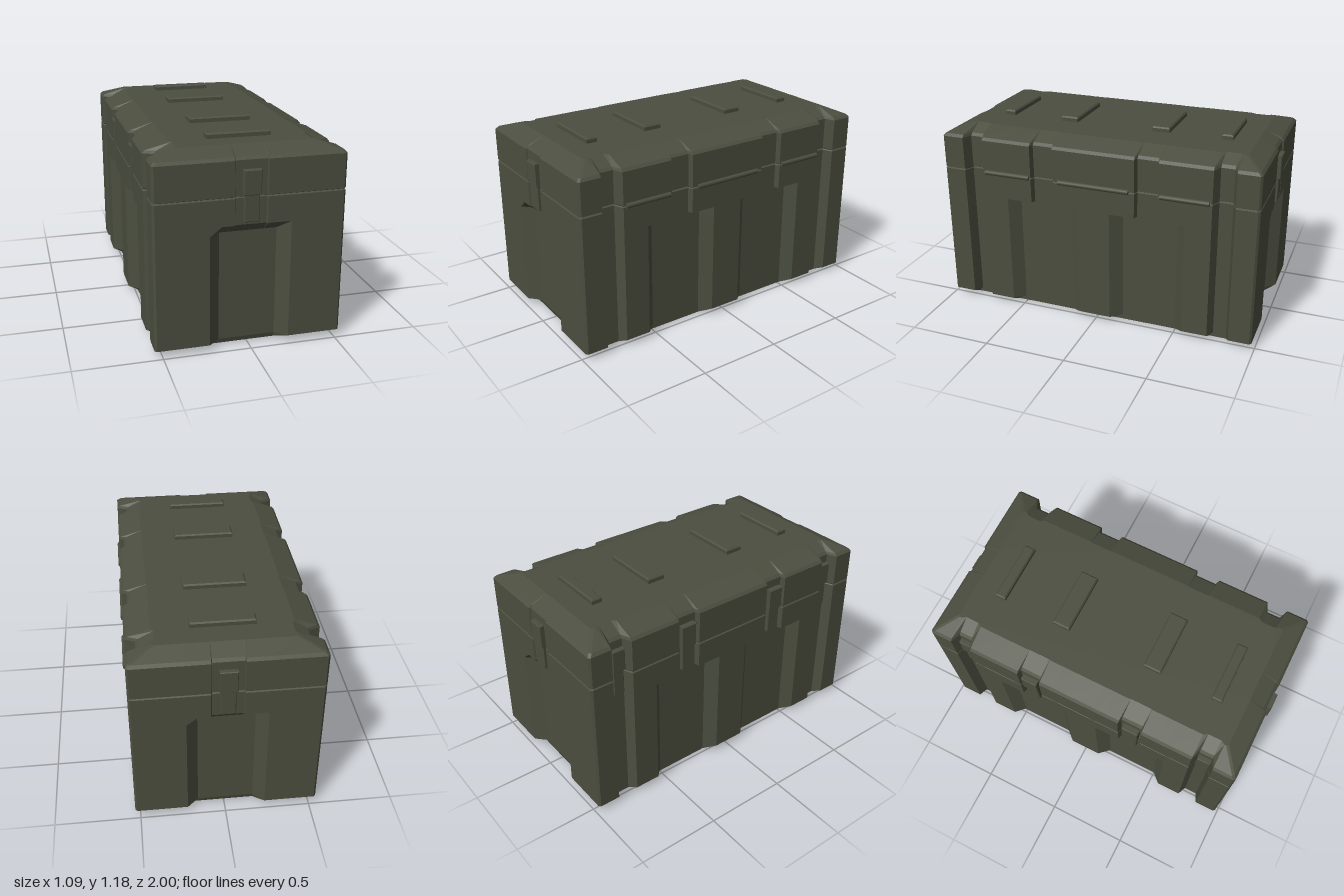
import * as THREE from 'three';

const HX = 0.537, HZ = 0.983, CX = -0.007; // half width, half length, centre in x
const CHAMFER = 0.012;

// 0 outside a..d, 1 between b..c, sloped between
const trap = (t, a, b, c, d) =>
  Math.max(0, Math.min(1, (t - a) / (b - a), (d - t) / (d - c)));

// Depth of the pressed-in shapes on the long sides and on the ends
function sideDepth(t, l) {
  const u = Math.abs(t);
  return Math.max(
    (l.sideRecess || 0) * trap(u, 0.10, 0.165, 0.50, 0.56),
    (l.channel || 0) * 0.031 * trap(u, 0.255, 0.265, 0.39, 0.40),
    (l.groove || 0) * 0.06 * trap(u, 0.715, 0.74, 0.82, 0.845));
}
function endDepth(t, l) {
  const u = Math.abs(t);
  return Math.max(
    (l.endRecess || 0) * trap(u, -2, -1, 0.163, 0.228),
    (l.channel || 0) * 0.011 * trap(u, -2, -1, 0.088, 0.093));
}

const mirrorBreaks = a => [...a.map(v => -v).reverse(), ...a];
const SIDE_T = mirrorBreaks([0.10, 0.165, 0.255, 0.265, 0.39, 0.40, 0.50, 0.56, 0.715, 0.74, 0.82, 0.845]);
const END_T = mirrorBreaks([0.088, 0.093, 0.163, 0.228]);

// Horizontal outline of the case at one level, counter-clockwise from above
function outline(l) {
  const ix = l.ix || 0, iz = l.iz || 0, pts = [];
  const offset = (inset, depth) => l.add ? inset + depth : Math.max(inset, depth);
  for (let k = 0; k < 4; k++) {
    const end = k % 2 === 0;
    const half = (end ? HX - ix : HZ - iz) - CHAMFER;
    for (const t of [-half, ...(end ? END_T : SIDE_T), half]) {
      const d = end ? HZ - offset(iz, endDepth(t, l)) : HX - offset(ix, sideDepth(t, l));
      const [x, z] = [[t, d], [d, -t], [-t, -d], [-d, t]][k];
      pts.push(new THREE.Vector3(CX + x, l.y, z));
    }
  }
  return pts;
}

// Closed solid from stacked outlines
function stack(levels) {
  const rings = levels.map(outline), n = rings[0].length, pos = [];
  const tri = (a, b, c) => [a, b, c].forEach(p => pos.push(p.x, p.y, p.z));
  for (let j = 0; j + 1 < rings.length; j++) {
    for (let i = 0; i < n; i++) {
      const m = (i + 1) % n, lo = rings[j], hi = rings[j + 1];
      tri(lo[i], lo[m], hi[m]);
      tri(lo[i], hi[m], hi[i]);
    }
  }
  const cap = (ring, up) => {
    const flat = ring.map(p => new THREE.Vector2(p.x, -p.z));
    for (const [a, b, c] of THREE.ShapeUtils.triangulateShape(flat, []))
      up ? tri(ring[a], ring[b], ring[c]) : tri(ring[a], ring[c], ring[b]);
  };
  cap(rings[0], false);
  cap(rings[rings.length - 1], true);
  const g = new THREE.BufferGeometry();
  g.setAttribute('position', new THREE.Float32BufferAttribute(pos, 3));
  g.computeVertexNormals();
  return g;
}

// Box whose +y face is drawn in by a small bevel
function padGeometry(w, h, d, bevel) {
  const g = new THREE.BoxGeometry(w, h, d, 1, 2, 1), p = g.attributes.position;
  for (let i = 0; i < p.count; i++) {
    const y = p.getY(i);
    if (y > 0.001) {
      p.setX(i, p.getX(i) - Math.sign(p.getX(i)) * bevel);
      p.setZ(i, p.getZ(i) - Math.sign(p.getZ(i)) * bevel);
    } else if (y > -0.001) p.setY(i, h / 2 - bevel);
  }
  const flat = g.toNonIndexed();
  flat.computeVertexNormals();
  return flat;
}

export function createModel() {
  const model = new THREE.Group();
  model.name = 'storageCase';
  const olive = new THREE.MeshStandardMaterial({ color: 0x4b4e3f });
  olive.name = 'oliveDrab';
  const add = (parent, name, geometry, x = 0, y = 0, z = 0) => {
    const m = new THREE.Mesh(geometry, olive);
    m.name = name;
    m.position.set(x, y, z);
    parent.add(m);
    return m;
  };

  // Lower body: bevelled foot, recesses, corner grooves, latch channels
  const low = { sideRecess: 0.06, endRecess: 0.06, groove: 1 };
  const high = { channel: 1, groove: 1 };
  add(model, 'body', stack([
    { ...low, y: 0, ix: 0.075, iz: 0.095 },
    { ...low, y: 0.011, ix: 0.055, iz: 0.069 },
    { ...low, y: 0.04 },
    { ...low, y: 0.68 },
    { ...low, y: 0.732, endRecess: 0, channel: 1 },
    { ...high, y: 0.733 },
    { ...high, y: 0.882 },
    { ...high, y: 0.888, ix: 0.01, iz: 0.01, add: true },
  ]));

  // Lid with sloping shoulders
  add(model, 'lid', stack([
    { ...high, y: 0.888, ix: 0.01, iz: 0.01, add: true },
    { ...high, y: 0.893 },
    { ...high, y: 1.09 },
    { ...high, y: 1.106, ix: 0.015, iz: 0.015, add: true },
    { channel: 0.1, groove: 0.25, y: 1.15, ix: 0.145, iz: 0.115, add: true },
  ]));

  // Raised stacking pads on the lid
  for (const s of [-1, 1]) {
    add(model, 'lidPad', padGeometry(0.366, 0.04, 0.066, 0.008), CX, 1.16, s * 0.70);
    add(model, 'lidPad', padGeometry(0.366, 0.04, 0.11, 0.008), CX, 1.16, s * 0.295);
  }

  // Hinge barrels along the left side
  for (const [z, length] of [[0.555, 0.29], [0, 0.44], [-0.555, 0.29]]) {
    const barrel = new THREE.CylinderGeometry(0.015, 0.015, length, 12).rotateX(Math.PI / 2);
    add(model, 'hinge', barrel, 0.53, 0.89, z);
  }

  // Latches: outer face at local z = 0
  const latch = (x, z, angle, width, depth) => {
    const g = new THREE.Group();
    g.name = 'latch';
    const upper = padGeometry(width, depth, 0.14, 0.004).rotateX(Math.PI / 2);
    add(g, 'latchPlate', upper, 0, 0.97, -depth / 2);
    const thin = depth - 0.011;
    const lower = padGeometry(width * 0.85, thin, 0.155, 0.004).rotateX(Math.PI / 2);
    add(g, 'latchTongue', lower, 0, 0.825, -0.011 - thin / 2);
    g.position.set(x, 0, z);
    g.rotation.y = angle;
    model.add(g);
  };
  latch(CX, 1, 0, 0.10, 0.035);
  latch(CX, -1, Math.PI, 0.10, 0.035);
  for (const s of [-1, 1]) {
    latch(-0.547, s * 0.33, -Math.PI / 2, 0.10, 0.042);
    latch(-0.512, s * 0.78, -Math.PI / 2, 0.08, 0.035);
  }
  return model;
}
